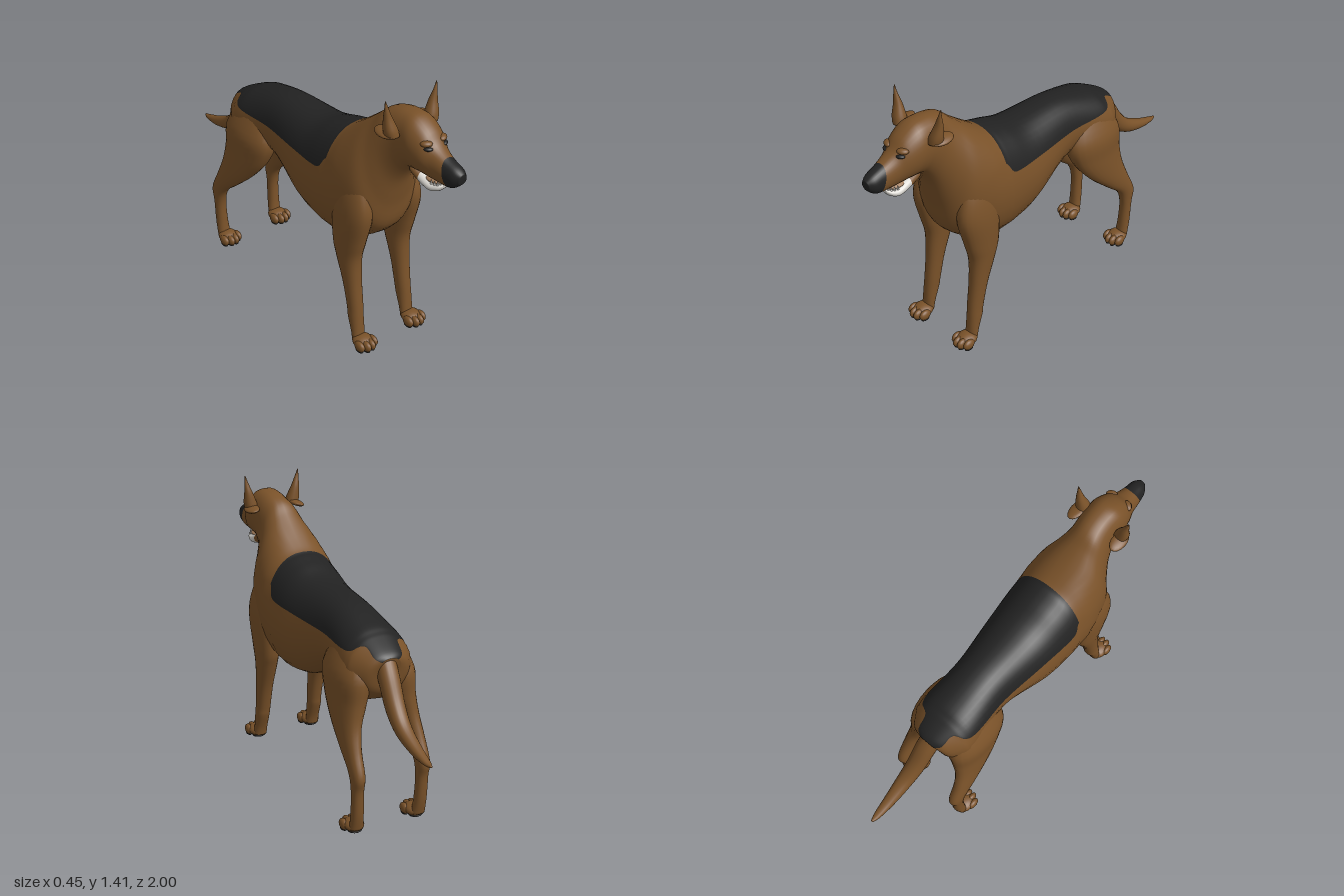
import * as THREE from 'three';

const mat = (name, color) => {
  const m = new THREE.MeshStandardMaterial({ color });
  m.name = name;
  return m;
};

// Smooth scalar interpolation through four values
const cubic = (a, b, c, d, t) =>
  b + 0.5 * t * (c - a + t * (2 * a - 5 * b + 4 * c - d + t * (3 * (b - c) + d - a)));

// Skin over rounded sections [z1, y1, z2, y2, halfWidth, xCentre, ySplit].
// The two points are the ends of the section in side profile; ySplit pins a
// column of vertices to a height, so that a colour border can follow it.
// pick(segment, upper) gives the material index of a face.
function loft(name, sections, materials, { steps = 5, half = 12, pick = () => 0 } = {}) {
  const secs = sections.map((s) => [...s.slice(0, 5), s[5] ?? 0, s[6] ?? (s[1] + s[3]) / 2]);
  const n = secs.length - 1, cols = half * 2, rows = n * steps + 1;
  const pos = [], groups = materials.map(() => []);
  for (let r = 0; r < rows; r++) {
    const i = Math.min(n - 1, Math.floor(r / steps)), t = r / steps - i;
    const at = (k) => secs[Math.max(0, Math.min(n, k))];
    const [z1, y1, z2, y2, w, xc, yb] = at(i).map((_, k) =>
      cubic(at(i - 1)[k], at(i)[k], at(i + 1)[k], at(i + 2)[k], t));
    const zc = (z1 + z2) / 2, yc = (y1 + y2) / 2, dz = (z1 - z2) / 2, dy = (y1 - y2) / 2;
    const ratio = Math.abs(dy) > 0.01 ? (yb - yc) / dy : 0;
    const split = Math.acos(Math.max(-0.9, Math.min(0.95, ratio)));
    for (let j = 0; j < cols; j++) {
      const u = Math.min(j, cols - j) / half;
      const a = u < 0.5 ? u * 2 * split : split + (u * 2 - 1) * (Math.PI - split);
      const side = j <= half ? 1 : -1;
      const x = side * w * Math.abs(Math.sin(a)) ** 0.86;
      pos.push(xc + x, yc + dy * Math.cos(a), zc + dz * Math.cos(a));
    }
  }
  for (let r = 0; r < rows - 1; r++) {
    for (let j = 0; j < cols; j++) {
      const k = (j + 1) % cols, a = r * cols + j, b = a + cols, c = r * cols + k, d = c + cols;
      const upper = j < half / 2 || j >= cols - half / 2;
      groups[pick(Math.floor(r / steps), upper)].push(a, b, c, b, d, c);
    }
  }
  // End caps
  [0, n].forEach((e) => {
    const s = secs[e], centre = pos.length / 3, base = e ? (rows - 1) * cols : 0;
    pos.push(s[5], (s[1] + s[3]) / 2, (s[0] + s[2]) / 2);
    for (let j = 0; j < cols; j++) {
      const a = base + j, b = base + ((j + 1) % cols);
      groups[pick(e ? n - 1 : 0, false)].push(centre, e ? b : a, e ? a : b);
    }
  });
  const geo = new THREE.BufferGeometry();
  geo.setAttribute('position', new THREE.Float32BufferAttribute(pos, 3));
  geo.setIndex(groups.flat());
  let start = 0;
  groups.forEach((g, i) => {
    geo.addGroup(start, g.length, i);
    start += g.length;
  });
  geo.computeVertexNormals();
  const mesh = new THREE.Mesh(geo, materials);
  mesh.name = name;
  return mesh;
}

function blob(name, material, p, size) {
  const mesh = new THREE.Mesh(new THREE.SphereGeometry(1, 16, 12), material);
  mesh.name = name;
  mesh.position.set(...p);
  mesh.scale.set(...size);
  return mesh;
}

export function createModel() {
  const dog = new THREE.Group();
  dog.name = 'dog';
  const coat = mat('brown coat', 0x7a5229);
  const black = mat('black fur', 0x222222);
  const white = mat('white teeth and jaw', 0xd8d5cf);
  const tan = mat('tan mouth', 0xa07a58);

  // Trunk, neck and head in one skin, with black saddle and muzzle tip
  dog.add(loft('body', [
    [-0.595, 0.865, -0.57, 0.77, 0.055, 0, 0.85],
    [-0.57, 0.887, -0.555, 0.69, 0.11, 0, 0.867],
    [-0.5, 0.925, -0.5, 0.63, 0.16, 0, 0.906],
    [-0.465, 0.942, -0.465, 0.63, 0.167, 0, 0.88],
    [-0.4, 0.967, -0.4, 0.63, 0.167, 0, 0.872],
    [-0.2, 1.012, -0.2, 0.67, 0.15, 0, 0.875],
    [0.06, 1.02, 0.06, 0.535, 0.194, 0, 0.88],
    [0.2, 1.06, 0.2, 0.497, 0.207, 0, 0.885],
    [0.265, 1.08, 0.26, 0.49, 0.21, 0, 0.9],
    [0.305, 1.093, 0.285, 0.49, 0.211, 0, 0.955],
    [0.36, 1.13, 0.4, 0.515, 0.212, 0, 0.95],
    [0.43, 1.185, 0.56, 0.64, 0.187],
    [0.49, 1.235, 0.6, 0.8, 0.143],
    [0.54, 1.28, 0.635, 0.94, 0.112],
    [0.59, 1.303, 0.69, 1.03, 0.1, 0.007],
    [0.65, 1.315, 0.73, 1.05, 0.097, 0.01],
    [0.72, 1.312, 0.76, 1.055, 0.097, 0.01],
    [0.79, 1.272, 0.8, 1.055, 0.084, 0.01],
    [0.84, 1.218, 0.86, 1.05, 0.062, 0.01],
    [0.9, 1.183, 0.935, 1.052, 0.049, 0.01],
    [0.965, 1.16, 0.967, 1.066, 0.041, 0.012],
    [0.998, 1.14, 0.992, 1.09, 0.022, 0.013],
  ], [coat, black], {
    half: 16,
    pick: (seg, upper) => ((seg < 9 && upper) || seg >= 19 ? 1 : 0),
  }));

  // Open lower jaw, mouth and teeth
  dog.add(loft('lowerJaw', [
    [0.715, 1.1, 0.72, 1.025, 0.055, 0.008],
    [0.77, 1.062, 0.77, 1.0, 0.05, 0.008],
    [0.835, 1.034, 0.83, 0.986, 0.046, 0.01],
    [0.875, 1.037, 0.87, 1.0, 0.033, 0.01],
    [0.89, 1.036, 0.888, 1.02, 0.012, 0.01],
  ], [coat, white], { pick: (seg) => (seg > 0 ? 1 : 0) }));
  dog.add(blob('tongue', tan, [0.01, 1.038, 0.82], [0.034, 0.013, 0.055]));
  for (let i = -4; i <= 4; i++) {
    const a = i * 0.32;
    const tooth = new THREE.Mesh(new THREE.ConeGeometry(0.006, 0.022, 6), white);
    tooth.name = 'lowerTooth';
    tooth.position.set(0.01 + 0.036 * Math.sin(a), 1.043, 0.825 + 0.053 * Math.cos(a));
    dog.add(tooth);
  }

  // Tail
  dog.add(loft('tail', [
    [-0.53, 0.76, -0.585, 0.865, 0.05, 0.005],
    [-0.575, 0.71, -0.635, 0.795, 0.05, 0.01],
    [-0.64, 0.615, -0.7, 0.69, 0.046, 0.015],
    [-0.74, 0.545, -0.77, 0.615, 0.04, 0.02],
    [-0.86, 0.507, -0.87, 0.56, 0.03, 0.02],
    [-0.96, 0.5, -0.96, 0.527, 0.018, 0.02],
    [-1, 0.507, -1, 0.517, 0.005, 0.02],
  ], [coat]));
  const sheath = blob('bellySheath', coat, [0, 0.62, -0.115], [0.028, 0.03, 0.055]);
  sheath.rotation.x = 0.45;
  dog.add(sheath);

  const foreleg = [
    [0.5, 0.97, 0.36, 0.95, 0.03, 0.125],
    [0.55, 0.86, 0.34, 0.82, 0.058, 0.14],
    [0.575, 0.74, 0.335, 0.7, 0.068, 0.147],
    [0.54, 0.59, 0.345, 0.55, 0.06, 0.15],
    [0.512, 0.48, 0.37, 0.47, 0.053, 0.15],
    [0.515, 0.35, 0.42, 0.33, 0.043, 0.15],
    [0.53, 0.22, 0.452, 0.2, 0.038, 0.15],
    [0.538, 0.15, 0.462, 0.15, 0.037, 0.152],
    [0.545, 0.08, 0.492, 0.07, 0.035, 0.153],
    [0.55, 0.03, 0.505, 0.02, 0.035, 0.154],
  ];
  const hindleg = [
    [-0.28, 0.9, -0.48, 0.88, 0.04, 0.095],
    [-0.21, 0.76, -0.552, 0.76, 0.086, 0.113],
    [-0.24, 0.64, -0.555, 0.63, 0.073, 0.13],
    [-0.33, 0.52, -0.565, 0.53, 0.054, 0.152],
    [-0.45, 0.41, -0.6, 0.43, 0.041, 0.167],
    [-0.54, 0.33, -0.65, 0.315, 0.034, 0.172],
    [-0.572, 0.24, -0.637, 0.235, 0.03, 0.172],
    [-0.57, 0.12, -0.628, 0.11, 0.031, 0.17],
    [-0.56, 0.03, -0.61, 0.025, 0.035, 0.167],
  ];

  // Paw with four toes and a black sole
  const addPaw = (name, x, z) => {
    const paw = new THREE.Group();
    paw.name = name;
    paw.position.set(x, 0, z);
    paw.add(blob('pawBody', coat, [0, 0.034, 0], [0.05, 0.031, 0.055]));
    [-1.5, -0.5, 0.5, 1.5].forEach((k) => {
      const z0 = Math.abs(k) > 1 ? 0.025 : 0.042;
      paw.add(blob('toe', coat, [k * 0.027, 0.031, z0], [0.018, 0.027, 0.034]));
      paw.add(blob('toePad', black, [k * 0.027, 0.008, z0], [0.014, 0.008, 0.025]));
    });
    paw.add(blob('solePad', black, [0, 0.009, -0.012], [0.036, 0.009, 0.032]));
    dog.add(paw);
  };

  for (const [label, s] of [['left', 1], ['right', -1]]) {
    const mirrored = (sections) => sections.map((v) => [...v.slice(0, 5), v[5] * s]);
    dog.add(loft(label + 'Foreleg', mirrored(foreleg), [coat]));
    dog.add(loft(label + 'HindLeg', mirrored(hindleg), [coat]));
    addPaw(label + 'ForePaw', s * 0.155, 0.56);
    addPaw(label + 'HindPaw', s * 0.165, -0.555);

    // Pointed ear with a loose flap at its base
    dog.add(loft(label + 'Ear', mirrored([
      [0.635, 1.23, 0.705, 1.23, 0.034, 0.112],
      [0.637, 1.265, 0.7, 1.265, 0.033, 0.12],
      [0.643, 1.32, 0.682, 1.32, 0.021, 0.131],
      [0.655, 1.37, 0.672, 1.37, 0.01, 0.141],
      [0.66, 1.407, 0.664, 1.407, 0.002, 0.147],
    ]), [coat]));
    const flap = blob(label + 'EarFlap', coat, [s * 0.125, 1.238, 0.64], [0.036, 0.014, 0.062]);
    flap.rotation.z = -s * 0.25;
    dog.add(flap);

    // Narrow eye below a brow ridge
    const eye = blob(label + 'Eye', black, [0.01 + s * 0.047, 1.206, 0.826], [0.021, 0.009, 0.014]);
    eye.rotation.y = s * 0.6;
    dog.add(eye);
    const brow = blob(label + 'Brow', coat, [0.01 + s * 0.047, 1.226, 0.811], [0.028, 0.014, 0.02]);
    brow.rotation.y = s * 0.6;
    dog.add(brow);
  }
  return dog;
}
